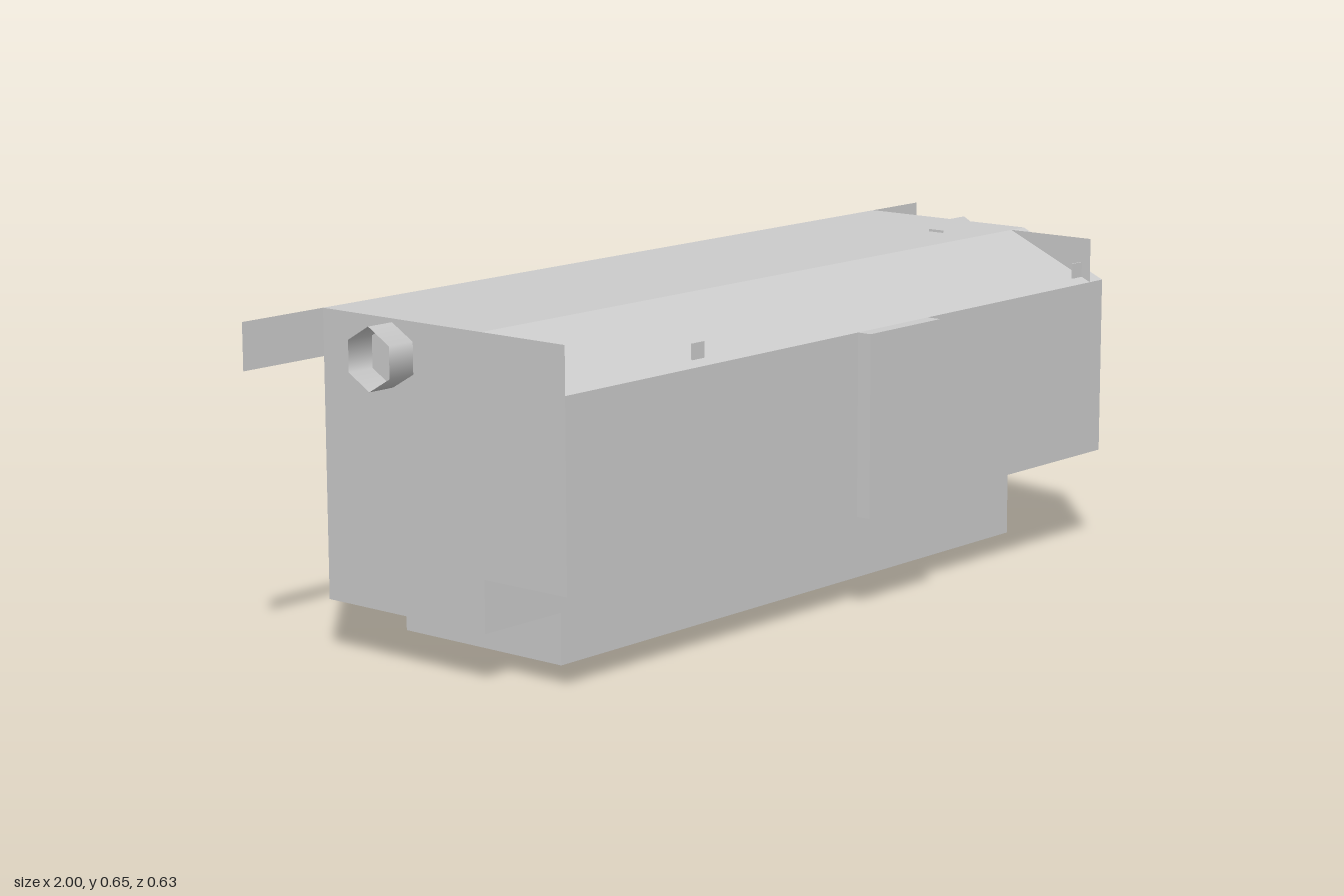
import * as THREE from 'three';

export function createModel() {
  const root = new THREE.Group();
  const mat = new THREE.MeshStandardMaterial({ color: 0xcccccc, side: THREE.DoubleSide, flatShading: true });
  const smooth = new THREE.MeshStandardMaterial({ color: 0xcccccc, side: THREE.DoubleSide });

  const add = (name, geo, material = mat) => {
    const mesh = new THREE.Mesh(geo, material);
    mesh.name = name;
    root.add(mesh);
    return mesh;
  };
  const sheet = (pts) => new THREE.ShapeGeometry(new THREE.Shape(pts.map(([a, b]) => new THREE.Vector2(a, b))));
  // Sheet facing z, outlined in x and y
  const zSheet = (name, z, pts) => add(name, sheet(pts).translate(0, 0, z));
  // Sheet facing x, outlined in z and y
  const xSheet = (name, x, pts) => add(name, sheet(pts).rotateY(-Math.PI / 2).translate(x, 0, 0));
  // Sloped or level sheet running along x between two (z, y) edges
  const span = (name, x0, x1, [z0, y0], [z1, y1]) => {
    const geo = new THREE.BufferGeometry();
    geo.setAttribute('position', new THREE.Float32BufferAttribute(
      [x0, y0, z0, x0, y1, z1, x1, y1, z1, x1, y0, z0], 3));
    geo.setIndex([0, 1, 2, 0, 2, 3]);
    geo.computeVertexNormals();
    return add(name, geo);
  };
  const box = (name, [x0, x1], [y0, y1], [z0, z1]) => add(name,
    new THREE.BoxGeometry(x1 - x0, y1 - y0, z1 - z0)
      .translate((x0 + x1) / 2, (y0 + y1) / 2, (z0 + z1) / 2));

  const back = -0.315, mid = 0.085, front = 0.285, top = 0.65;

  // Roof: level part and front slope, overhanging the left end
  span('roofTop', -0.8, 0.845, [back, top], [mid, top]);
  span('roofSlope', -0.8, 0.845, [mid, top], [front, 0.56]);

  // Front wall and the recessed skirt below it
  zSheet('frontWall', front, [[-0.8, 0.2], [0.845, 0.2], [0.845, 0.56], [-0.8, 0.56]]);
  zSheet('frontSkirt', mid, [[-0.6, 0], [0.8, 0], [0.8, 0.2], [-0.8, 0.2], [-0.8, 0.1], [-0.6, 0.1]]);

  // Back wall with stepped lower corners, and the long rail across its top
  zSheet('backWall', back, [[-0.6, 0], [0.6, 0], [0.6, 0.1], [0.8, 0.1], [0.8, top],
    [-0.8, top], [-0.8, 0.1], [-0.6, 0.1]]);
  for (const [a, b] of [[-1, -0.8], [0.8, 1]])
    zSheet('backRail', back, [[a, 0.56], [b, 0.56], [b, top], [a, top]]);

  // End walls, tub sides and the stepped floors
  for (const s of [-1, 1]) {
    xSheet('endWall', s * 0.8, [[back, 0.1], [mid, 0.1], [mid, 0.2], [front, 0.2], [front, top], [back, top]]);
    xSheet('tubSide', s * 0.6, [[back, 0], [mid, 0], [mid, 0.1], [back, 0.1]]);
    span('stepFloor', s * 0.7 - 0.1, s * 0.7 + 0.1, [mid, 0.1], [back, 0.1]);
  }
  span('tubFloor', -0.6, 0.6, [mid, 0], [back, 0]);
  span('frontFloor', -0.8, 0.8, [front, 0.2], [mid, 0.2]);

  // Front door
  box('door', [0.025, 0.245], [0.2, 0.56], [front, 0.315]);

  // Thin posts behind the front wall, poking through the slope
  for (const x of [-0.42, 0.784])
    box('post', [x - 0.017, x + 0.017], [0.2, 0.6], [0.2615, 0.2645]);

  // Small fin on the roof
  box('roofFin', [0.673, 0.677], [top, 0.655], [-0.035, 0]);

  // Open six-sided pipe running through both ends
  add('pipe', new THREE.CylinderGeometry(0.06, 0.06, 1.795, 6, 1, true)
    .rotateY(Math.PI / 2).rotateZ(Math.PI / 2).translate(0.0375, 0.583, -0.137), smooth);

  return root;
}
